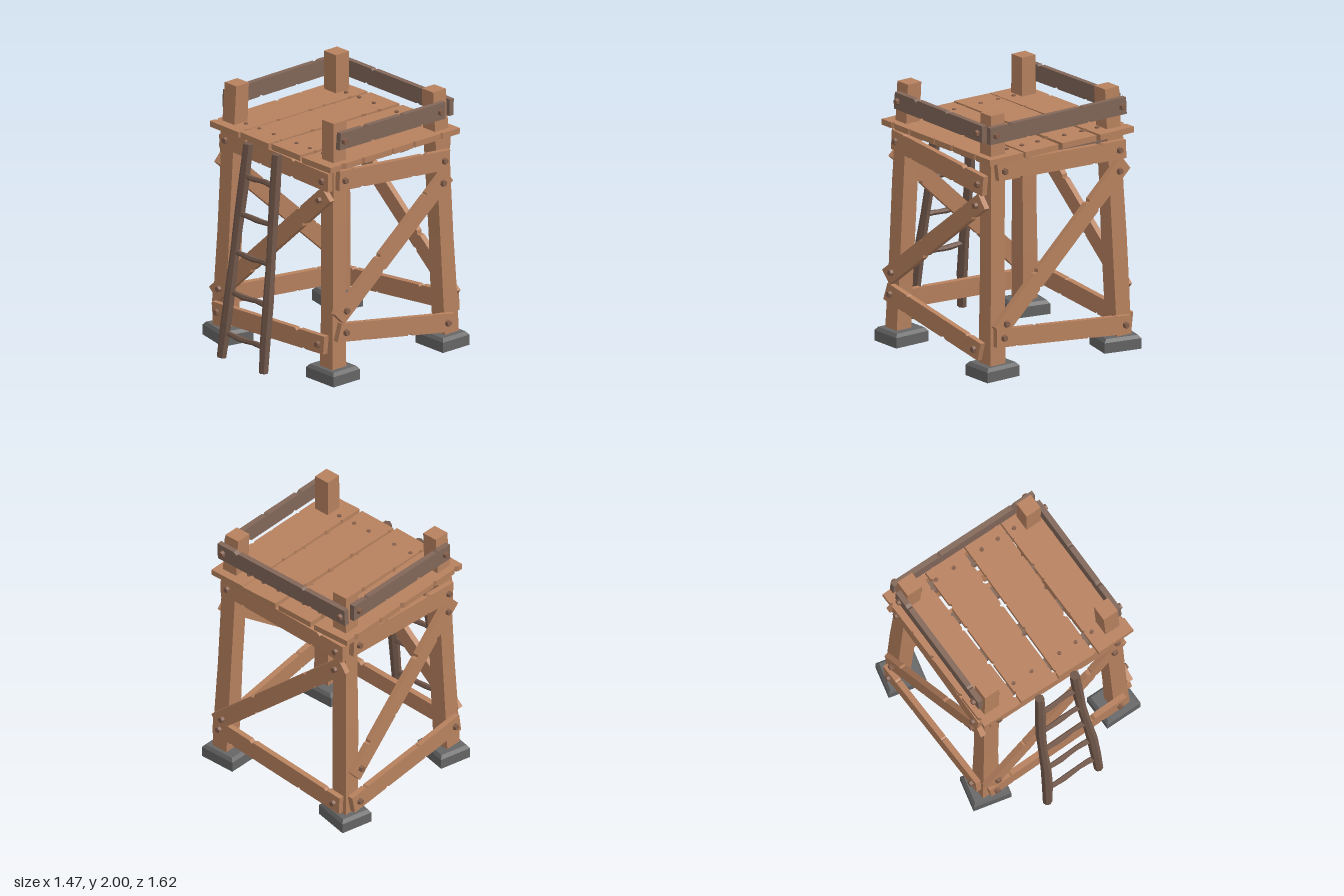
import * as THREE from 'three';

const mat = (color) => new THREE.MeshStandardMaterial({ color, flatShading: true, side: THREE.DoubleSide });
const V = (x, y, z) => new THREE.Vector3(x, y, z);

export function createModel() {
  const root = new THREE.Group();
  root.name = 'watchPlatform';
  const wood = mat(0xb8825f), oldWood = mat(0x826759), ladderWood = mat(0x73594c);
  const stone = mat(0x666666), bolt = mat(0x86604c);

  // small seeded generator for wear
  let seed = 7;
  const rnd = () => (seed = (seed * 16807) % 2147483647) / 2147483647;

  function add(parent, geo, material, name) {
    const m = new THREE.Mesh(geo, material);
    m.name = name;
    parent.add(m);
    return m;
  }

  // board outline with slightly skewed ends and small triangular nicks on both long edges
  function boardGeometry(len, w, t, nicks) {
    const pts = [];
    const edge = (dir) => {
      const skew = () => (rnd() - 0.5) * 0.025;
      pts.push([-dir * len / 2 + skew(), -dir * w / 2]);
      for (let i = 0; i < nicks; i++) {
        const x = dir * len * ((i + 0.2 + rnd() * 0.6) / nicks - 0.5);
        const r = 0.008 + rnd() * 0.012;
        pts.push([x - dir * r, -dir * w / 2], [x, -dir * (w / 2 - r)], [x + dir * r * 1.4, -dir * w / 2]);
      }
      pts.push([dir * len / 2 + skew(), -dir * w / 2]);
    };
    edge(1);
    edge(-1);
    const shape = new THREE.Shape(pts.map((p) => new THREE.Vector2(...p)));
    return new THREE.ExtrudeGeometry(shape, { depth: t, bevelEnabled: false }).translate(0, 0, -t / 2);
  }

  // board from a to b whose broad face looks along normal, with optional hex bolts near its ends
  function board(name, a, b, normal, w, t, material, { nicks = 2, bolts = 0 } = {}) {
    const g = new THREE.Group();
    g.name = name;
    const x = b.clone().sub(a), len = x.length();
    x.normalize();
    const z = normal.clone().addScaledVector(x, -normal.dot(x)).normalize();
    const y = z.clone().cross(x);
    g.quaternion.setFromRotationMatrix(new THREE.Matrix4().makeBasis(x, y, z));
    g.position.copy(a).add(b).multiplyScalar(0.5);
    add(g, boardGeometry(len, w, t, nicks), material, name + 'Board');
    if (bolts) for (const s of [-1, 1]) {
      const m = add(g, new THREE.CylinderGeometry(0.022, 0.028, 0.03, 6), bolt, 'bolt');
      m.rotation.x = Math.PI / 2;
      m.position.set(s * (len / 2 - bolts), 0, t / 2 + 0.01);
    }
    root.add(g);
  }

  // leg centre lines lean inwards towards the top
  const legX = (s, y) => (s > 0 ? 0.603 - 0.029 * y : -0.583 + 0.031 * y);
  const legZ = (s, y) => (s > 0 ? 0.438 - 0.032 * y : -0.683 + 0.036 * y);

  // legs and foot stones
  for (const sx of [-1, 1]) for (const sz of [-1, 1]) {
    const leg = new THREE.BoxGeometry(0.13, 1.92, 0.13, 1, 5, 1).translate(0, 1.04, 0);
    const p = leg.attributes.position;
    for (let i = 0; i < p.count; i++) {
      const y = p.getY(i), k = 1.04 - 0.03 * y + 0.03 * Math.sin(y * 5 + sx + sz);
      p.setXYZ(i, p.getX(i) * k + legX(sx, y), y, p.getZ(i) * k + legZ(sz, y));
    }
    add(root, leg, wood, 'leg');

    const foot = new THREE.BoxGeometry(0.3, 0.1, 0.26, 1, 2, 1).translate(0, 0.05, 0);
    const q = foot.attributes.position;
    for (let i = 0; i < q.count; i++) {
      const y = q.getY(i), k = y > 0.09 ? 0.86 : 1;
      q.setXYZ(i, q.getX(i) * k, y > 0.01 && y < 0.09 ? 0.08 : y * 1.05, q.getZ(i) * k);
    }
    const f = add(root, foot, stone, 'footStone');
    f.position.set(sx > 0 ? 0.583 : -0.565, 0, sz > 0 ? 0.42 : -0.662);
    if (sx < 0) f.rotation.y = -0.225;
  }

  // side frames: each entry is [start along, start y, end along, end y, width]
  const T = 0.045, OUT = 0.065 + T / 2;
  const frames = [
    { name: 'front', axis: 'z', s: 1, top: [-0.565, 1.583, 0.615, 1.55, 0.14], low: [-0.61, 0.23, 0.615, 0.29, 0.14], brace: [-0.6, 0.36, 0.59, 1.455, 0.13] },
    { name: 'back', axis: 'z', s: -1, top: [-0.6, 1.53, 0.59, 1.58, 0.14], low: [-0.62, 0.19, 0.63, 0.32, 0.14], brace: [-0.6, 1.43, 0.61, 0.36, 0.13] },
    { name: 'right', axis: 'x', s: 1, top: [0.44, 1.565, -0.66, 1.465, 0.15], low: [0.46, 0.395, -0.66, 0.2, 0.14], brace: [0.46, 0.5, -0.65, 1.355, 0.13] },
    { name: 'left', axis: 'x', s: -1, top: [0.44, 1.5, -0.66, 1.57, 0.15], low: [0.47, 0.31, -0.7, 0.19, 0.14], brace: [0.43, 1.41, -0.68, 0.42, 0.13] },
  ];
  for (const f of frames) {
    const at = (u, y) => (f.axis === 'z' ? V(u, y, legZ(f.s, y) + f.s * OUT) : V(legX(f.s, y) + f.s * OUT, y, u));
    const n = f.axis === 'z' ? V(0, 0.033, f.s) : V(f.s, 0.03, 0);
    for (const [key, label] of [['top', 'UpperBeam'], ['low', 'LowerBeam'], ['brace', 'Brace']]) {
      const [u0, y0, u1, y1, w] = f[key];
      board(f.name + label, at(u0, y0), at(u1, y1), n, w, T, wood, { bolts: key === 'brace' ? 0.085 : 0.06 });
    }
  }

  // joists under the deck
  for (const z of [-0.61, -0.31, 0.04, 0.37])
    board('joist', V(-0.56, 1.622, z), V(0.57, 1.622, z), V(0, 1, 0), 0.09, 0.065, oldWood, { nicks: 0 });

  // deck planks: [x back, x front, width, y]
  for (const [xb, xf, w, y] of [[-0.505, -0.49, 0.32, 1.675], [-0.152, -0.158, 0.318, 1.678],
    [0.198, 0.178, 0.315, 1.677], [0.52, 0.525, 0.31, 1.673]])
    board('deckPlank', V(xb, y - 0.003, -0.76), V(xf, y + 0.003, 0.53), V(0, 1, 0), w, T, wood, { nicks: 5 });

  // deck nails
  for (const x of [-0.425, -0.28, -0.12, 0.13, 0.275, 0.42]) for (const z of [-0.62, 0.37])
    add(root, new THREE.CylinderGeometry(0.016, 0.018, 0.012, 6), bolt, 'nail').position.set(x, 1.702, z);

  // guard rails on the back and both sides
  const rail = (name, a, b, n) => board(name, a, b, n, 0.13, 0.042, oldWood, { bolts: 0.045 });
  rail('backRail', V(-0.62, 1.86, -0.705), V(0.64, 1.86, -0.695), V(0, 0, -1));
  rail('rightRail', V(0.633, 1.865, 0.42), V(0.633, 1.855, -0.62), V(1, 0, 0));
  rail('leftRail', V(-0.608, 1.86, 0.41), V(-0.61, 1.865, -0.63), V(-1, 0, 0));

  // rough pole from a to b: a cylinder with a slight bend, sag and uneven thickness
  function pole(name, a, b, r, sides, bend, sag) {
    const d = b.clone().sub(a), len = d.length();
    const g = new THREE.CylinderGeometry(r, r, len, sides, 6);
    const p = g.attributes.position, ph = rnd() * 6;
    for (let i = 0; i < p.count; i++) {
      const t = p.getY(i) / len + 0.5, k = 1 + 0.1 * Math.sin(t * 11 + ph);
      p.setX(i, p.getX(i) * k + bend * Math.sin(t * 9 + ph));
      p.setZ(i, p.getZ(i) * k + bend * Math.sin(t * 7));
    }
    g.applyQuaternion(new THREE.Quaternion().setFromUnitVectors(V(0, 1, 0), d.normalize()));
    g.translate((a.x + b.x) / 2, (a.y + b.y) / 2 - sag, (a.z + b.z) / 2);
    add(root, g, ladderWood, name);
  }

  // ladder leaning on the front edge
  const left = [V(-0.25, 0.02, 0.765), V(-0.19, 1.66, 0.56)];
  const right = [V(0.21, 0.02, 0.765), V(0.125, 1.66, 0.56)];
  for (const [a, b] of [left, right]) pole('ladderRail', a, b, 0.039, 7, 0.006, 0);
  for (const y of [0.21, 0.525, 0.83, 1.125, 1.42]) {
    const t = (y - 0.02) / 1.64;
    pole('ladderRung', left[0].clone().lerp(left[1], t), right[0].clone().lerp(right[1], t), 0.021, 6, 0.004, 0.002);
  }
  return root;
}
